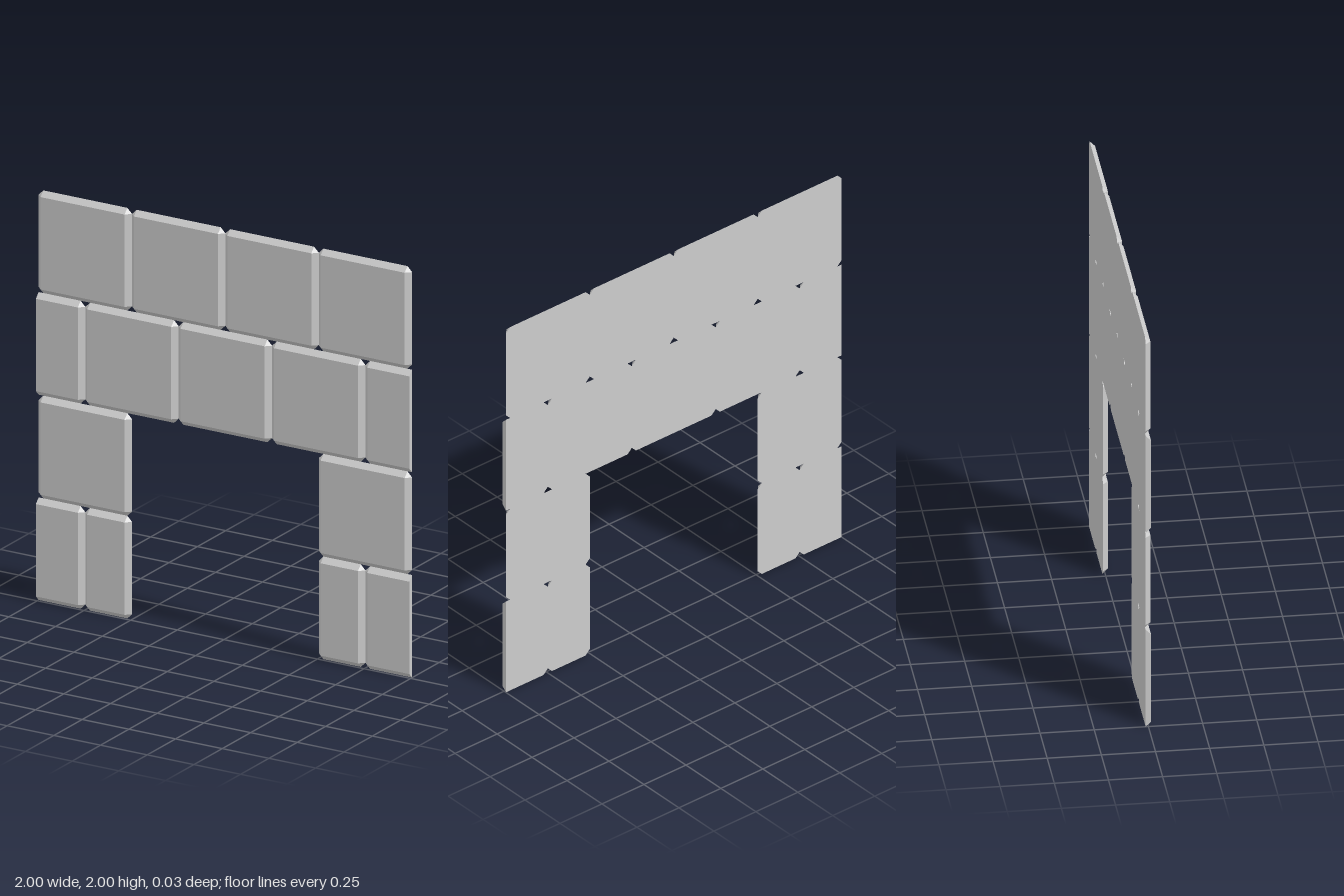
import * as THREE from 'three';
import { ConvexGeometry } from 'three/addons/geometries/ConvexGeometry.js';

const H = 0.5;       // height of one course
const C = 0.025;     // chamfer and corner cut
const D = 0.0125;    // half thickness

const material = new THREE.MeshStandardMaterial({ color: 0xcccccc, flatShading: true });

// Stone slab with a chamfered front and cut corners; an end on the wall's
// outer edge (flatEnd = -1 or 1) is sawn off square instead.
function stone(x0, x1, row, flatEnd = 0) {
  const w = (x1 - x0) / 2, h = H / 2;
  const points = [];
  for (const sx of [-1, 1]) {
    for (const sy of [-1, 1]) {
      if (sx === flatEnd) {
        points.push(new THREE.Vector3(sx * w, sy * (h - C), D));
        points.push(new THREE.Vector3(sx * w, sy * h, -D));
      } else {
        points.push(new THREE.Vector3(sx * (w - C), sy * (h - C), D));
        points.push(new THREE.Vector3(sx * (w - C), sy * h, -D));
        points.push(new THREE.Vector3(sx * w, sy * (h - C), -D));
      }
    }
  }
  const mesh = new THREE.Mesh(new ConvexGeometry(points), material);
  mesh.position.set((x0 + x1) / 2, row * H + h, 0);
  return mesh;
}

export function createModel() {
  const model = new THREE.Group();
  model.name = 'stoneArchway';
  const add = (name, ...args) => {
    const mesh = stone(...args);
    mesh.name = name;
    model.add(mesh);
  };

  // Pillars on both sides of the opening
  for (const s of [-1, 1]) {
    const side = s > 0 ? 'left' : 'right';
    const span = (a, b) => (s > 0 ? [a, b] : [-b, -a]);
    add(side + 'PillarOuterHalfStone', ...span(0.75, 1), 0, s);
    add(side + 'PillarInnerHalfStone', ...span(0.5, 0.75), 0);
    add(side + 'PillarStone', ...span(0.5, 1), 1);
    add(side + 'LintelHalfStone', ...span(0.75, 1), 2, s);
  }

  // Lintel course, offset by half a stone
  for (let i = 0; i < 3; i++) add('lintelStone', -0.75 + i * H, -0.25 + i * H, 2);

  // Top course
  for (let i = 0; i < 4; i++) add('topStone', -1 + i * H, -0.5 + i * H, 3);

  return model;
}
